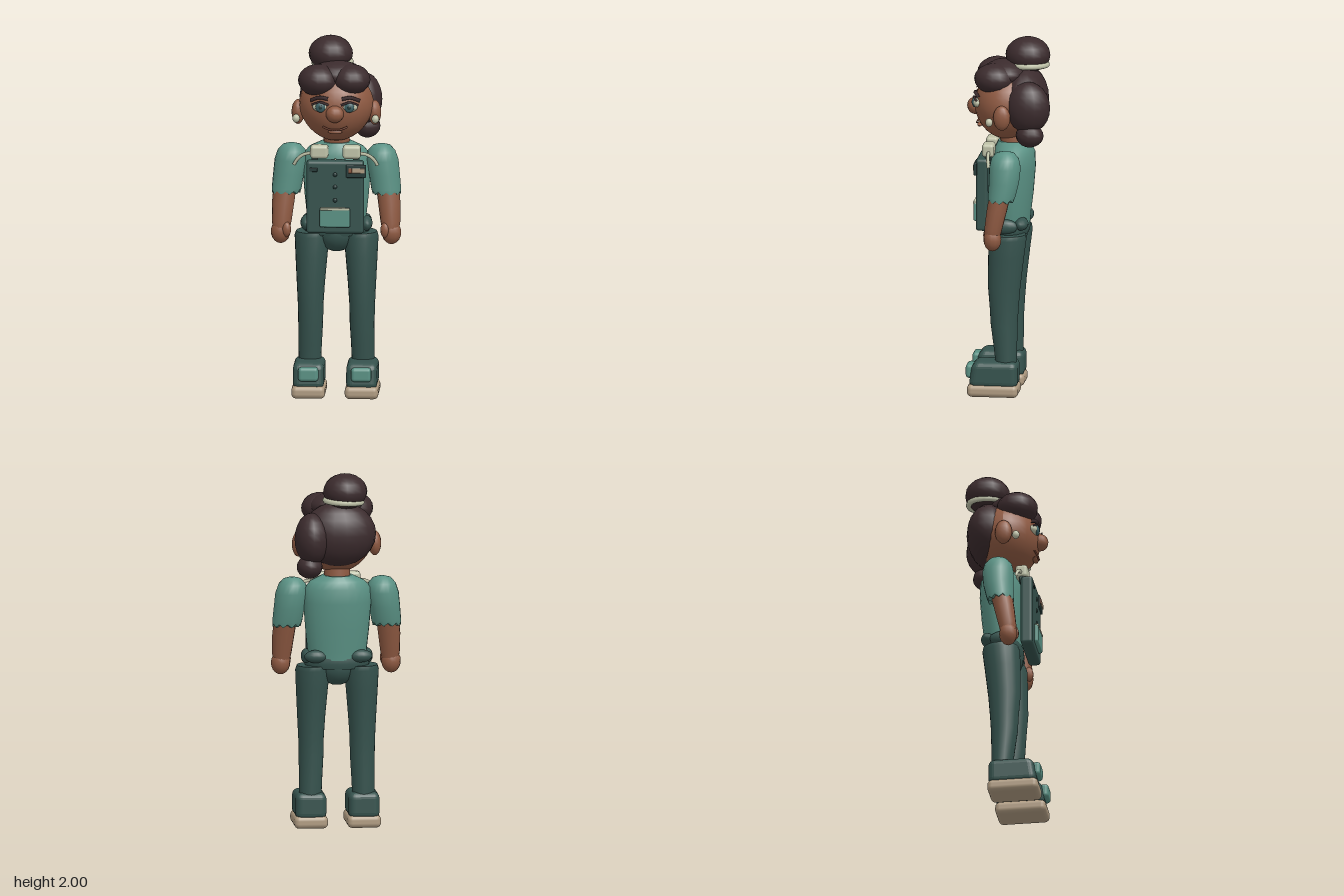
import * as THREE from 'three';
import { RoundedBoxGeometry } from 'three/addons/geometries/RoundedBoxGeometry.js';

const mat = (name, color) => Object.assign(new THREE.MeshStandardMaterial({ color }), { name });
const skin = mat('skin', 0x8f5a42);
const hair = mat('darkHair', 0x3b2b2d);
const shirt = mat('tealShirt', 0x5a9184);
const denim = mat('darkTealDenim', 0x36534e);
const trim = mat('deepTealTrim', 0x253a38);
const tan = mat('tanSole', 0xb09c82);
const cream = mat('cream', 0xbfc2a8);
const iris = mat('blueGreenIris', 0x3b5f63);
const lip = mat('brownLip', 0x70402f);

export function createModel() {
  const root = new THREE.Group();
  root.name = 'figure';

  const add = (name, geo, material, x = 0, y = 0, z = 0) => {
    const m = new THREE.Mesh(geo, material);
    m.name = name;
    m.position.set(x, y, z);
    root.add(m);
    return m;
  };
  const ball = (name, material, p, r, w = 16, h = 12) =>
    add(name, new THREE.SphereGeometry(1, w, h).scale(...r), material, ...p);
  const box = (name, material, p, s, r) =>
    add(name, new RoundedBoxGeometry(...s, 3, r), material, ...p);
  const tube = (name, material, pts, r) => add(name, new THREE.TubeGeometry(
    new THREE.CatmullRomCurve3(pts.map((p) => new THREE.Vector3(...p))), 12, r, 6), material);

  // Skin over elliptical rings [y, centreX, centreZ, radiusX, radiusZ] given from the bottom up
  const loft = (name, material, rings, n = 18, scallop = 0) => {
    const pos = [], idx = [];
    const ring = ([y, cx, cz, rx, rz], wave = 0) => {
      for (let j = 0; j < n; j++) {
        const a = (j / n) * Math.PI * 2;
        pos.push(cx + rx * Math.cos(a), y + (j % 2) * wave, cz + rz * Math.sin(a));
      }
    };
    rings.forEach((r, i) => ring(r, i === 0 ? scallop : 0));
    for (let i = 0; i < rings.length - 1; i++) {
      for (let j = 0; j < n; j++) {
        const k = (j + 1) % n, a = i * n + j, b = i * n + k;
        idx.push(a, a + n, b, b, a + n, b + n);
      }
    }
    [rings[0], rings[rings.length - 1]].forEach((r, top) => {
      const start = pos.length / 3;
      ring(r, top ? 0 : scallop);
      pos.push(r[1], r[0], r[2]);
      for (let j = 0; j < n; j++) {
        const a = start + j, b = start + ((j + 1) % n);
        idx.push(start + n, top ? b : a, top ? a : b);
      }
    });
    const g = new THREE.BufferGeometry();
    g.setAttribute('position', new THREE.Float32BufferAttribute(pos, 3));
    g.setIndex(idx);
    g.computeVertexNormals();
    return add(name, g, material);
  };

  // Head narrowing to the chin
  const headGeo = new THREE.SphereGeometry(1, 24, 18).scale(0.208, 0.2, 0.18);
  const hp = headGeo.attributes.position;
  for (let i = 0; i < hp.count; i++) {
    hp.setX(i, hp.getX(i) * (1 + 0.6 * Math.min(0, hp.getY(i) + 0.02)));
  }
  headGeo.computeVertexNormals();
  add('head', headGeo, skin, 0, 1.63, 0.015);
  loft('neck', skin, [[1.36, 0, -0.02, 0.075, 0.07], [1.5, 0, -0.01, 0.07, 0.07]]);
  ball('nose', skin, [0, 1.61, 0.193], [0.05, 0.048, 0.047], 12, 10);
  tube('mouth', lip, [[-0.068, 1.535, 0.172], [-0.035, 1.522, 0.181], [0, 1.519, 0.183],
    [0.035, 1.522, 0.181], [0.068, 1.535, 0.172]], 0.006);
  ball('lowerLip', skin, [0, 1.505, 0.168], [0.04, 0.012, 0.015]);

  // Hair: fringe lobes, rounded back, side ponytail and top bun
  ball('fringeRight', hair, [-0.095, 1.78, 0.08], [0.115, 0.09, 0.115]);
  ball('fringeLeft', hair, [0.085, 1.785, 0.075], [0.107, 0.085, 0.115]);
  ball('fringeCrown', hair, [0.005, 1.805, 0.025], [0.15, 0.075, 0.125]);
  ball('backHair', hair, [0, 1.66, -0.085], [0.21, 0.18, 0.13], 18, 12);
  ball('ponytail', hair, [0.15, 1.64, -0.12], [0.098, 0.145, 0.123]);
  ball('ponytailTip', hair, [0.165, 1.485, -0.13], [0.072, 0.066, 0.078], 12, 10);
  ball('bun', hair, [-0.037, 1.9, -0.095], [0.123, 0.1, 0.125]);
  const band = add('bunBand', new THREE.TorusGeometry(0.102, 0.016, 8, 24).rotateX(Math.PI / 2),
    cream, -0.027, 1.847, -0.1);
  band.rotation.z = 0.05;

  // Shirt body and waist
  loft('shirtBody', shirt, [
    [0.93, 0, -0.01, 0.15, 0.1], [1.0, 0, -0.01, 0.165, 0.105], [1.12, 0, -0.015, 0.178, 0.115],
    [1.27, 0, -0.02, 0.19, 0.122], [1.35, 0, -0.022, 0.185, 0.117], [1.39, 0, -0.02, 0.15, 0.1],
    [1.42, 0, -0.015, 0.085, 0.08]], 24);
  loft('waist', denim, [[0.9, 0, -0.005, 0.17, 0.1], [0.93, 0, -0.005, 0.185, 0.108],
    [0.965, 0, -0.005, 0.178, 0.105], [0.975, 0, -0.005, 0.165, 0.1]], 24);
  ball('crotch', denim, [0, 0.91, 0], [0.115, 0.11, 0.1]);

  // Bib with buttons, pockets and tag
  box('bib', denim, [0, 1.135, 0.14], [0.32, 0.41, 0.068], 0.018);
  for (const y of [1.265, 1.195, 1.12]) ball('button', trim, [0, y, 0.174], [0.012, 0.012, 0.008], 10, 8);
  ball('collarButton', cream, [0, 1.338, 0.12], [0.008, 0.008, 0.008], 8, 6);
  box('bibClip', trim, [-0.12, 1.292, 0.175], [0.045, 0.022, 0.012], 0.004);
  box('chestPocket', trim, [0.117, 1.285, 0.174], [0.112, 0.072, 0.018], 0.006);
  box('pocketTag', tan, [0.13, 1.29, 0.184], [0.072, 0.028, 0.008], 0.003);
  box('pocketTagEnd', skin, [0.085, 1.29, 0.184], [0.02, 0.028, 0.008], 0.003);
  box('frontPocket', shirt, [0, 1.022, 0.18], [0.17, 0.105, 0.03], 0.01);
  box('frontPocketEdge', cream, [0, 1.073, 0.187], [0.165, 0.014, 0.022], 0.005);

  for (const s of [-1, 1]) {
    // Eyes, brows, ears
    ball('eye', cream, [s * 0.08, 1.648, 0.168], [0.046, 0.029, 0.03]);
    ball('iris', iris, [s * 0.08, 1.648, 0.189], [0.028, 0.029, 0.014], 12, 10);
    ball('pupil', trim, [s * 0.08, 1.649, 0.199], [0.012, 0.013, 0.006], 10, 8);
    tube('eyelid', hair, [[s * 0.035, 1.661, 0.192], [s * 0.08, 1.677, 0.192], [s * 0.128, 1.658, 0.168]], 0.007);
    tube('eyebrow', hair, [[s * 0.038, 1.695, 0.188], [s * 0.085, 1.702, 0.182], [s * 0.135, 1.682, 0.157]], 0.011);
    ball('ear', skin, [s * 0.213, 1.59, 0.02], [0.036, 0.07, 0.048], 12, 10);
    ball('earring', cream, [s * 0.22, 1.565, 0.09], [0.021, 0.024, 0.021], 12, 8);

    // Strap buckles and cords
    box('strap', denim, [s * 0.115, 1.355, 0.11], [0.036, 0.09, 0.03], 0.008);
    box('buckle', cream, [s * 0.09, 1.383, 0.108], [0.1, 0.074, 0.068], 0.018);
    tube('cord', cream, [[s * 0.12, 1.375, 0.105], [s * 0.175, 1.365, 0.102],
      [s * 0.21, 1.34, 0.097], [s * 0.232, 1.305, 0.09]], 0.01);

    // Arm
    loft('sleeve', shirt, [
      [1.13, s * 0.28, 0.015, 0.079, 0.072], [1.16, s * 0.276, 0.012, 0.083, 0.077],
      [1.24, s * 0.266, 0, 0.086, 0.084], [1.32, s * 0.255, -0.004, 0.089, 0.088],
      [1.37, s * 0.25, -0.004, 0.077, 0.077], [1.4, s * 0.25, -0.004, 0.05, 0.05],
      [1.41, s * 0.25, -0.004, 0.015, 0.015]], 20, 0.018);
    loft('forearm', skin, [
      [0.94, s * 0.303, 0.06, 0.048, 0.045], [0.98, s * 0.302, 0.055, 0.055, 0.05],
      [1.08, s * 0.295, 0.037, 0.062, 0.057], [1.17, s * 0.285, 0.02, 0.064, 0.06]], 14);
    ball('hand', skin, [s * 0.308, 0.92, 0.06], [0.054, 0.066, 0.05], 12, 10);
    ball('thumb', skin, [s * 0.274, 0.937, 0.088], [0.026, 0.044, 0.028], 10, 8);

    // Hip pouches
    ball('backPouch', denim, [s * 0.125, 0.972, -0.08], [0.065, 0.036, 0.038], 14, 10);
    ball('sidePouch', denim, [s * 0.168, 0.962, 0.01], [0.032, 0.042, 0.075], 14, 10);

    // Leg
    loft('leg', denim, [
      [0.17, s * 0.148, 0.003, 0.062, 0.058], [0.28, s * 0.146, 0.008, 0.065, 0.066],
      [0.4, s * 0.143, 0.015, 0.069, 0.075], [0.5, s * 0.143, 0.015, 0.071, 0.081],
      [0.62, s * 0.142, 0.015, 0.078, 0.091], [0.78, s * 0.139, 0.005, 0.089, 0.1],
      [0.89, s * 0.136, -0.004, 0.097, 0.105], [0.915, s * 0.135, -0.005, 0.09, 0.099]], 20);

    // Shoe, sloped back at the toe
    box('sole', tan, [s * 0.148, 0.036, 0.072], [0.187, 0.072, 0.285], 0.028);
    const upper = box('shoeUpper', denim, [s * 0.148, 0.125, 0.068], [0.172, 0.148, 0.268], 0.035);
    const up = upper.geometry.attributes.position;
    for (let i = 0; i < up.count; i++) {
      if (up.getY(i) > 0 && up.getZ(i) > 0) up.setZ(i, up.getZ(i) - 0.3 * up.getY(i));
    }
    upper.geometry.computeVertexNormals();
    box('toePatch', shirt, [s * 0.147, 0.14, 0.2], [0.112, 0.08, 0.05], 0.02);
  }
  return root;
}
